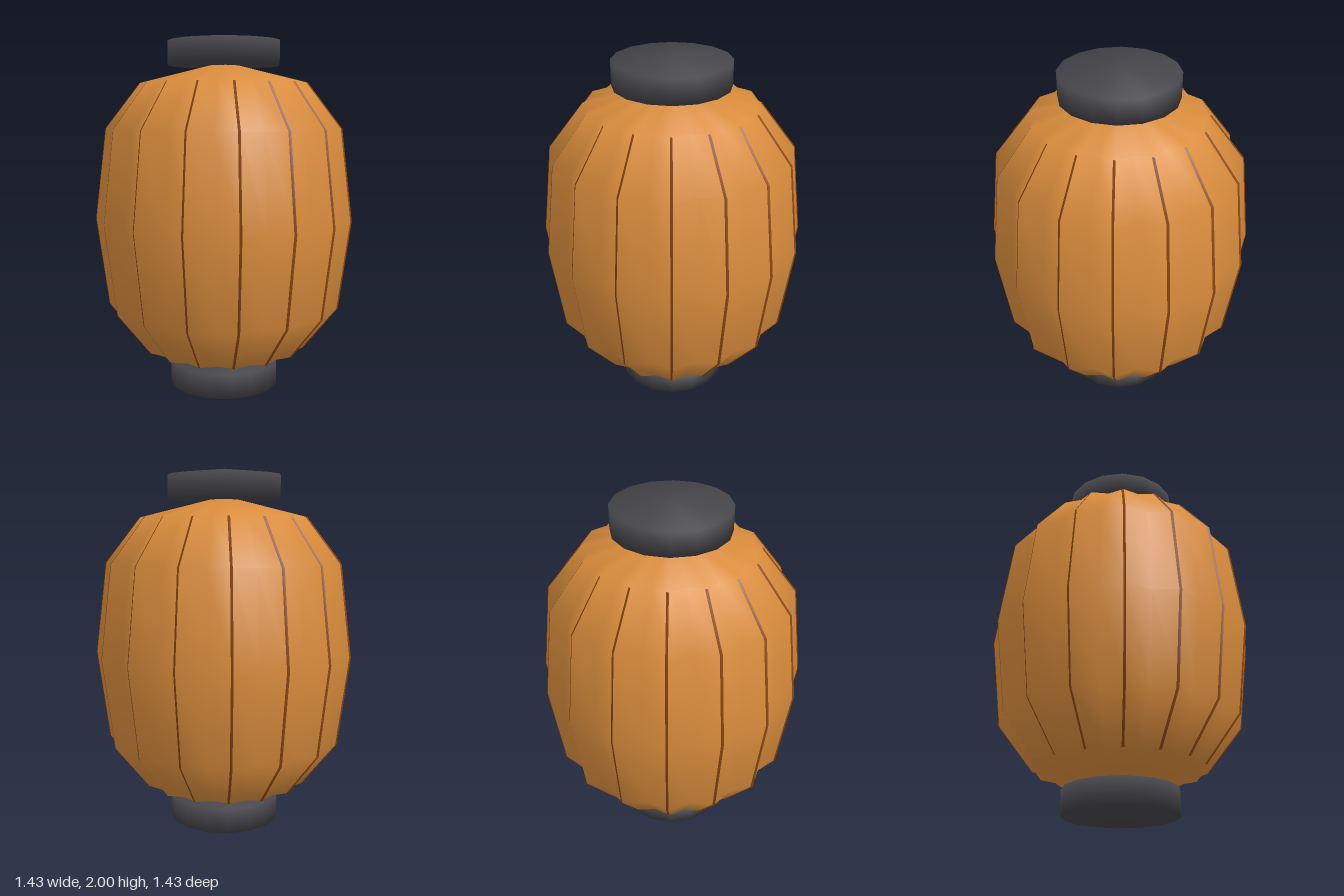
import * as THREE from 'three';
import { mergeVertices } from 'three/addons/utils/BufferGeometryUtils.js';

const RIBS = 16;
const VALLEY = 0.925; // valley radius relative to rib radius
// rib radius and height of each ring, bottom to top
const RINGS = [[0, 0.15], [0.46, 0.265], [0.65, 0.51], [0.713, 1], [0.65, 1.495], [0.46, 1.74], [0, 1.855]];

const material = (name, color, side = THREE.FrontSide) => {
  const m = new THREE.MeshStandardMaterial({ color, side });
  m.name = name;
  return m;
};

const lathe = (profile, segments) =>
  new THREE.LatheGeometry(profile.map(([r, y]) => new THREE.Vector2(r, y)), segments);

// Pleated paper shell: every second column is pulled inwards
function paperGeometry() {
  const geo = lathe(RINGS, RIBS * 2);
  const pos = geo.attributes.position;
  for (let i = 0; i < pos.count; i++) {
    const column = Math.floor(i / RINGS.length);
    if (column % 2) pos.setXYZ(i, pos.getX(i) * VALLEY, pos.getY(i), pos.getZ(i) * VALLEY);
  }
  geo.deleteAttribute('uv');
  geo.deleteAttribute('normal');
  const merged = mergeVertices(geo, 1e-4);
  merged.computeVertexNormals();
  return merged;
}

// Thin strip lying on one flank of the rib at +z
function ribGeometry() {
  const half = Math.PI / RIBS, width = 0.014, lift = 0.003;
  const verts = [], index = [];
  RINGS.slice(1, -1).forEach(([r, y], i) => {
    const dx = -Math.sin(half) * r * VALLEY;
    const dz = Math.cos(half) * r * VALLEY - r;
    const t = width / Math.hypot(dx, dz);
    verts.push(dx * t, y, r + dz * t + lift, 0, y, r + lift);
    if (i) {
      const a = i * 2 - 2;
      index.push(a, a + 1, a + 2, a + 1, a + 3, a + 2);
    }
  });
  const geo = new THREE.BufferGeometry();
  geo.setAttribute('position', new THREE.Float32BufferAttribute(verts, 3));
  geo.setIndex(index);
  geo.computeVertexNormals();
  return geo;
}

export function createModel() {
  const paper = material('orange paper', 0xd98c3c);
  const ribMat = material('brown rib', 0x8b4510, THREE.DoubleSide);
  const dark = material('dark cap', 0x45454a);

  const group = new THREE.Group();
  group.name = 'paperLantern';
  const add = (parent, name, geo, mat) => {
    const mesh = new THREE.Mesh(geo, mat);
    mesh.name = name;
    parent.add(mesh);
    return mesh;
  };

  add(group, 'paperBody', paperGeometry(), paper);

  // Ribs repeated around the body
  const ribs = new THREE.Group();
  ribs.name = 'ribs';
  group.add(ribs);
  const ribGeo = ribGeometry();
  for (let i = 0; i < RIBS; i++) {
    add(ribs, 'rib', ribGeo, ribMat).rotation.y = (i * 2 * Math.PI) / RIBS;
  }

  // Caps with shallow conical ends
  add(group, 'topCap', lathe([[0, 1.835], [0.31, 1.835], [0.31, 1.967], [0, 2]], 16), dark);
  add(group, 'bottomCap', lathe([[0, 0], [0.31, 0.035], [0.31, 0.172], [0, 0.172]], 16), dark);

  return group;
}
